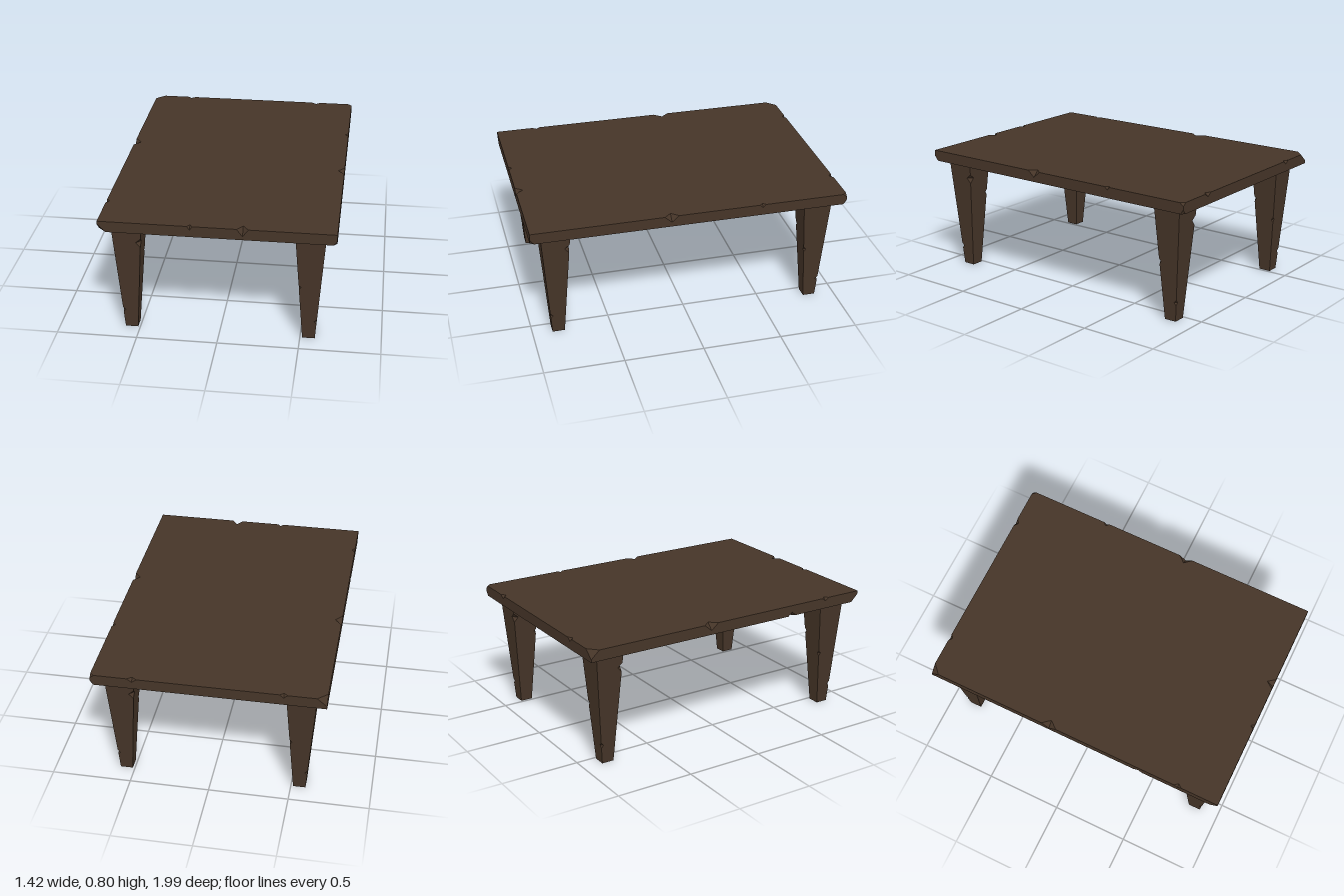
import * as THREE from 'three';

const V = (x, y, z) => new THREE.Vector3(x, y, z);

// Corner index bits: 1 = +x, 2 = +y, 4 = +z. Faces wind outward.
const FACES = [[1, 3, 7, 5], [0, 4, 6, 2], [2, 6, 7, 3], [0, 1, 5, 4], [4, 5, 7, 6], [0, 2, 3, 1]];
const AXIS = { 1: 0, 2: 1, 4: 2 };

// Six-sided block with V-shaped chips along edges and sliced-off corners.
// chips: [cornerA, cornerB, position 0..1, half length, depth]; cuts: {corner: [dx, dy, dz]}
function chippedBlock(corners, chips, cuts = {}) {
  const out = [];
  const tri = (a, b, c) => out.push(...a.toArray(), ...b.toArray(), ...c.toArray());
  const triFacing = (a, b, c, target) => {
    const n = b.clone().sub(a).cross(c.clone().sub(a));
    if (n.dot(target.clone().sub(a)) > 0) tri(a, b, c);
    else tri(a, c, b);
  };
  const along = (i, j, d) => corners[i].clone().add(corners[j].clone().sub(corners[i]).setLength(d));
  const bites = chips.map(() => []);

  for (const face of FACES) {
    const centre = face.reduce((s, i) => s.add(corners[i]), V(0, 0, 0)).multiplyScalar(0.25);
    const outline = [];
    face.forEach((c, k) => {
      const next = face[(k + 1) % 4], prev = face[(k + 3) % 4];
      if (cuts[c]) {
        outline.push(along(c, prev, cuts[c][AXIS[c ^ prev]]), along(c, next, cuts[c][AXIS[c ^ next]]));
      } else outline.push(corners[c]);

      // Notches on the edge from c to next, in walking order
      const here = [];
      chips.forEach(([a, b, t, half, depth], n) => {
        if (a === c && b === next) here.push({ t, half, depth, n });
        if (b === c && a === next) here.push({ t: 1 - t, half, depth, n });
      });
      here.sort((p, q) => p.t - q.t);
      const dir = corners[next].clone().sub(corners[c]).normalize();
      for (const { t, half, depth, n } of here) {
        const mid = corners[c].clone().lerp(corners[next], t);
        const inward = centre.clone().sub(mid);
        inward.addScaledVector(dir, -inward.dot(dir)).setLength(depth);
        const start = mid.clone().addScaledVector(dir, -half);
        const end = mid.clone().addScaledVector(dir, half);
        const inner = mid.clone().add(inward);
        outline.push(start, inner, end);
        bites[n].push({ start, end, inner, mid });
      }
    });

    // Flatten the outline into the face plane and fill it
    const u = corners[face[1]].clone().sub(corners[face[0]]).normalize();
    const normal = u.clone().cross(corners[face[3]].clone().sub(corners[face[0]])).normalize();
    const v = normal.clone().cross(u);
    const flat = outline.map(p => new THREE.Vector2(p.dot(u), p.dot(v)));
    for (const [a, b, c] of THREE.ShapeUtils.triangulateShape(flat, [])) {
      triFacing(outline[a], outline[b], outline[c], outline[a].clone().add(normal));
    }
  }

  // Inside faces of the chips
  for (const [p, q] of bites) {
    triFacing(p.start, p.inner, q.inner, p.mid);
    triFacing(p.end, p.inner, q.inner, p.mid);
  }
  // Sliced corners
  for (const key of Object.keys(cuts)) {
    const c = Number(key);
    const [a, b, d] = [1, 2, 4].map(bit => along(c, c ^ bit, cuts[c][AXIS[bit]]));
    triFacing(a, b, d, corners[c]);
  }

  const geometry = new THREE.BufferGeometry();
  geometry.setAttribute('position', new THREE.Float32BufferAttribute(out, 3));
  geometry.computeVertexNormals();
  return geometry;
}

// Eight corners of a block whose bottom and top may differ in size
function blockCorners(y0, y1, bottomX, bottomZ, topX, topZ) {
  return Array.from({ length: 8 }, (_, i) => {
    const top = i & 2;
    return V((i & 1 ? 1 : -1) * (top ? topX : bottomX), top ? y1 : y0, (i & 4 ? 1 : -1) * (top ? topZ : bottomZ));
  });
}

export function createModel() {
  const table = new THREE.Group();
  table.name = 'table';
  const wood = new THREE.MeshStandardMaterial({ color: 0x463528, flatShading: true });

  // Table top
  const topChips = [
    [6, 7, 0.61, 0.035, 0.047], // front
    [6, 7, 0.39, 0.017, 0.024],
    [3, 7, 0.565, 0.045, 0.04], // left side
    [3, 7, 0.275, 0.02, 0.02],
    [2, 6, 0.42, 0.05, 0.042], // right side
    [2, 6, 0.865, 0.025, 0.02],
    [0, 4, 0.73, 0.03, 0.025],
    [2, 3, 0.18, 0.025, 0.02], // back
    [2, 3, 0.82, 0.03, 0.022],
  ];
  const topCuts = {
    2: [0.06, 0.05, 0.055],
    3: [0.025, 0.02, 0.025],
    4: [0.05, 0.05, 0.05],
    5: [0.02, 0.03, 0.025],
    1: [0.02, 0.03, 0.02],
  };
  const slab = chippedBlock(blockCorners(0.727, 0.796, 0.71, 0.997, 0.71, 0.997), topChips, topCuts);
  const tableTop = new THREE.Mesh(slab, wood);
  tableTop.name = 'tableTop';
  table.add(tableTop);

  // Tapered legs, each turned a quarter from the last
  const legChips = [
    [5, 7, 0.17, 0.018, 0.016],
    [1, 3, 0.85, 0.03, 0.03],
    [4, 6, 0.51, 0.018, 0.014],
    [0, 2, 0.68, 0.018, 0.016],
  ];
  const legGeometry = chippedBlock(blockCorners(0, 0.73, 0.039, 0.039, 0.092, 0.092), legChips);
  const spots = [['frontLeftLeg', 1, 1], ['backLeftLeg', 1, -1], ['backRightLeg', -1, -1], ['frontRightLeg', -1, 1]];
  spots.forEach(([name, sx, sz], i) => {
    const leg = new THREE.Mesh(legGeometry, wood);
    leg.name = name;
    leg.position.set(sx * 0.553, 0, sz * 0.835);
    leg.rotation.y = i * Math.PI / 2;
    table.add(leg);
  });

  return table;
}
